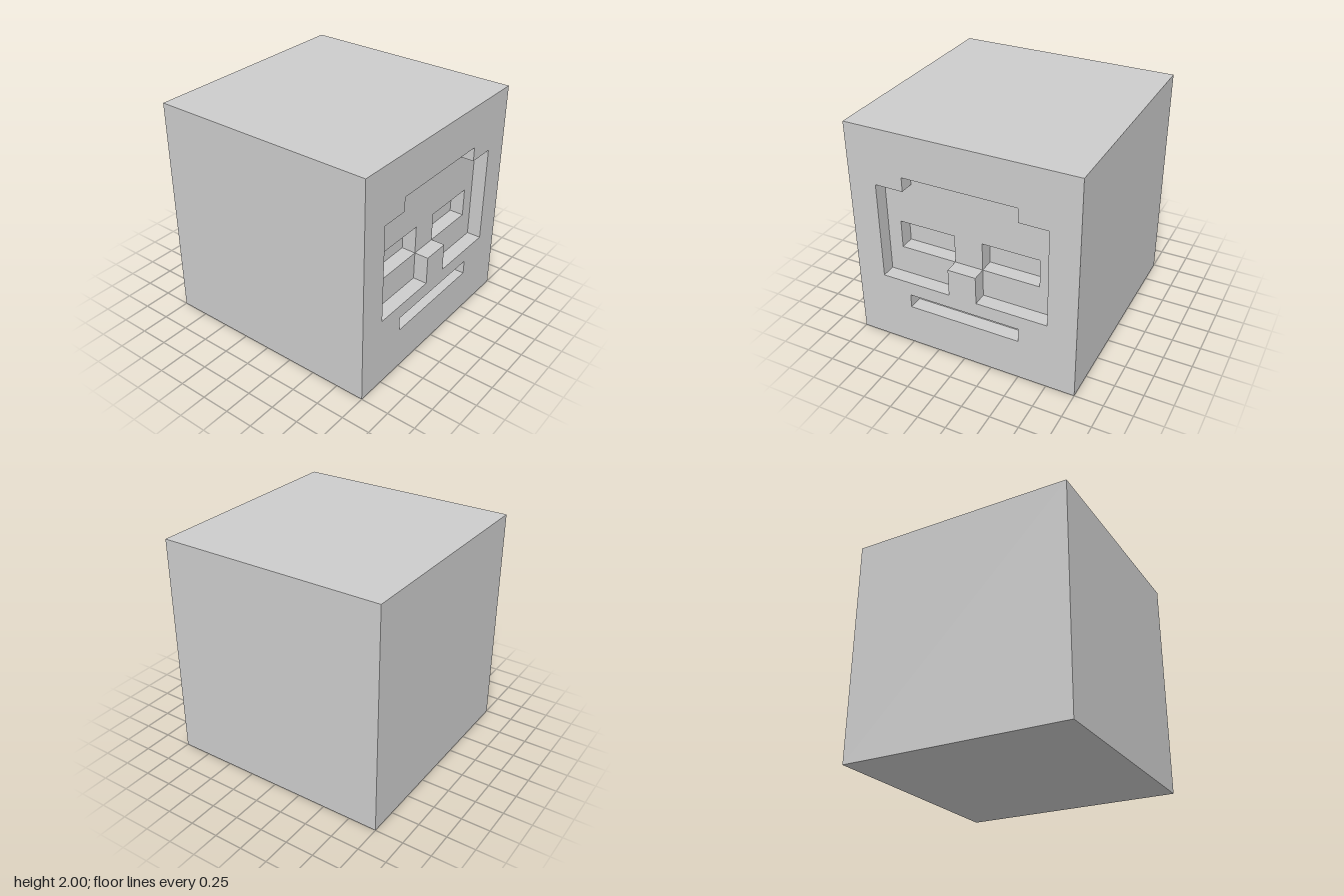
import * as THREE from 'three';

const stone = new THREE.MeshStandardMaterial({ color: 0xcccccc });
stone.name = 'grey stone';

// Depths of the front face, the first recess and the deeper eye sockets
const FRONT = 1, RECESS = 0.875, SOCKET = 0.75;

const toPoints = (pairs) => pairs.map(([x, y]) => new THREE.Vector2(x, y));
const rect = (x0, y0, x1, y1) => toPoints([[x0, y0], [x1, y0], [x1, y1], [x0, y1]]);

// Outlines run counter-clockwise
const faceOutline = toPoints([
  [-0.75, 0.625], [-0.125, 0.625], [-0.125, 0.875], [0.125, 0.875],
  [0.125, 0.625], [0.75, 0.625], [0.75, 1.5], [0.5, 1.5],
  [0.5, 1.625], [-0.5, 1.625], [-0.5, 1.5], [-0.75, 1.5],
]);
const mouthOutline = rect(-0.5, 0.375, 0.5, 0.5);
const eyeOutlines = {
  left: rect(0.125, 0.875, 0.625, 1.125),
  right: rect(-0.625, 0.875, -0.125, 1.125),
};

// Recess floor above the eye bottoms, notched around both sockets
const browOutline = toPoints([
  [-0.125, 0.875], [0.125, 0.875], [0.125, 1.125], [0.625, 1.125],
  [0.625, 0.875], [0.75, 0.875], [0.75, 1.5], [0.5, 1.5],
  [0.5, 1.625], [-0.5, 1.625], [-0.5, 1.5], [-0.75, 1.5],
  [-0.75, 0.875], [-0.625, 0.875], [-0.625, 1.125], [-0.125, 1.125],
]);

// Flat panel facing forward
function panel(outline, z, holes = []) {
  const shape = new THREE.Shape(outline);
  shape.holes = holes.map((h) => new THREE.Path(h));
  return new THREE.ShapeGeometry(shape).translate(0, 0, z);
}

// Inward-facing walls around a hole, from its front edge to its floor
function walls(outline, front, back) {
  const pos = [];
  outline.forEach((a, i) => {
    const b = outline[(i + 1) % outline.length];
    pos.push(a.x, a.y, front, b.x, b.y, front, b.x, b.y, back);
    pos.push(a.x, a.y, front, b.x, b.y, back, a.x, a.y, back);
  });
  const geo = new THREE.BufferGeometry();
  geo.setAttribute('position', new THREE.Float32BufferAttribute(pos, 3));
  geo.computeVertexNormals();
  return geo;
}

// Cube without its front side, which the carved panel replaces
function openCube() {
  const geo = new THREE.BoxGeometry(2, 2, 2).translate(0, 1, 0);
  const index = Array.from(geo.index.array);
  index.splice(24, 6);
  geo.setIndex(index);
  geo.clearGroups();
  return geo;
}

export function createModel() {
  const model = new THREE.Group();
  model.name = 'carvedCubeHead';
  const add = (name, geo) => {
    const mesh = new THREE.Mesh(geo, stone);
    mesh.name = name;
    model.add(mesh);
  };

  add('headSides', openCube());
  add('headFront', panel(rect(-1, 0, 1, 2), FRONT, [faceOutline, mouthOutline]));

  // Sunken face
  add('faceWalls', walls(faceOutline, FRONT, RECESS));
  add('browFloor', panel(browOutline, RECESS));
  add('leftCheekFloor', panel(rect(0.125, 0.625, 0.75, 0.875), RECESS));
  add('rightCheekFloor', panel(rect(-0.75, 0.625, -0.125, 0.875), RECESS));

  // Eye sockets
  for (const [side, outline] of Object.entries(eyeOutlines)) {
    add(`${side}EyeWalls`, walls(outline, RECESS, SOCKET));
    add(`${side}EyeFloor`, panel(outline, SOCKET));
  }

  // Mouth slot
  add('mouthWalls', walls(mouthOutline, FRONT, RECESS));
  add('mouthFloor', panel(mouthOutline, RECESS));

  return model;
}
